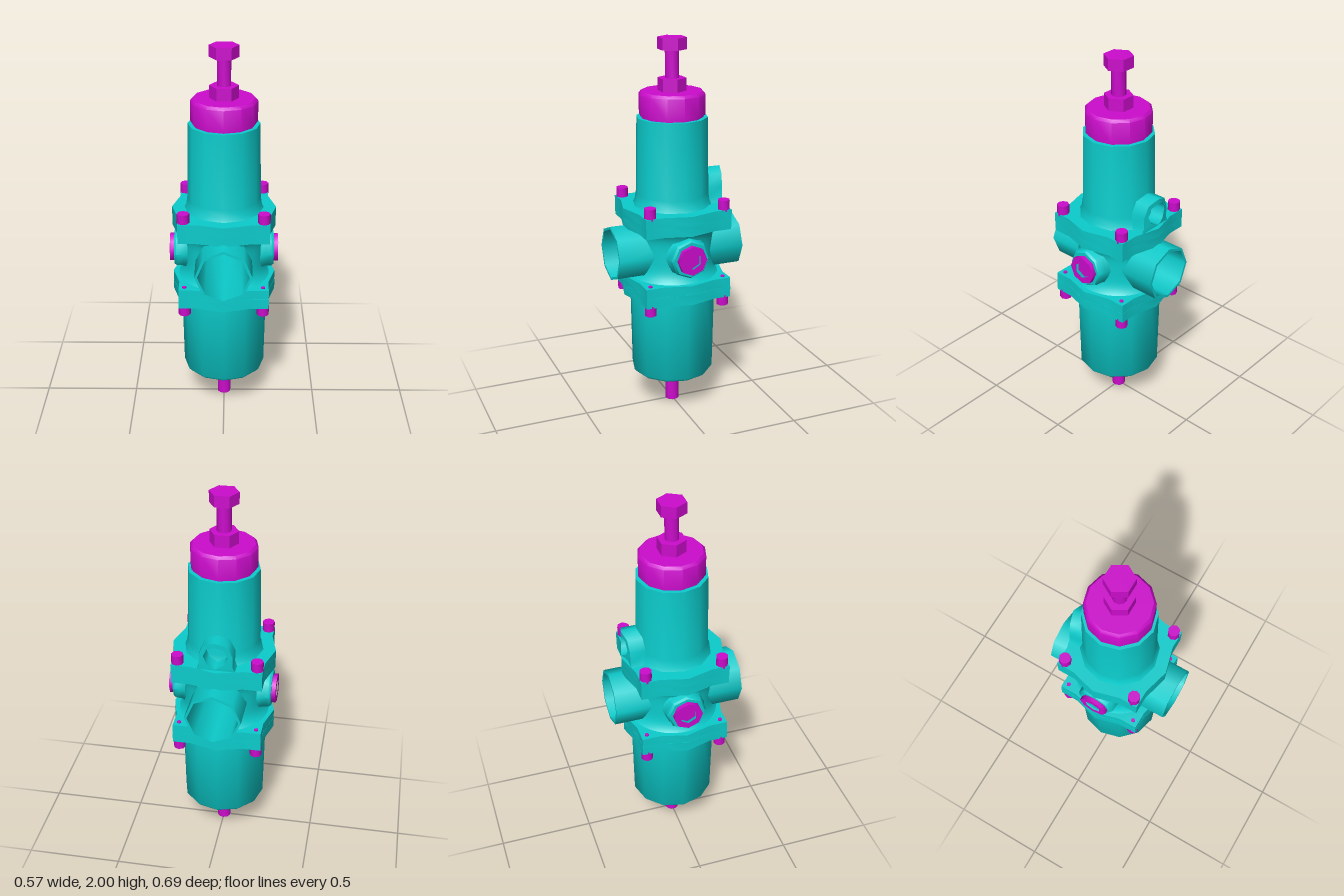
import * as THREE from 'three';
import { toCreasedNormals } from 'three/addons/utils/BufferGeometryUtils.js';

const teal = new THREE.MeshStandardMaterial({ color: 0x0ccccc });
const magenta = new THREE.MeshStandardMaterial({ color: 0xcc0ccc });
const PORT_Y = 0.9;

// Turned part; the profile runs upwards along the outside
const turned = (profile, sides) =>
  new THREE.LatheGeometry(profile.map(([r, y]) => new THREE.Vector2(r, y)), sides);

// Solid rod or prism standing between two heights
const rod = (r, y0, y1, sides) => turned([[0, y0], [r, y0], [r, y1], [0, y1]], sides);

const polygon = (Type, r, sides, cy = 0) => {
  const pts = [];
  for (let i = 0; i < sides; i++) {
    const a = (i / sides) * Math.PI * 2;
    pts.push(new THREE.Vector2(Math.sin(a) * r, cy + Math.cos(a) * r));
  }
  return new Type(pts);
};

function part(parent, name, geometry, material) {
  const mesh = new THREE.Mesh(toCreasedNormals(geometry, 0.83), material);
  mesh.name = name;
  parent.add(mesh);
  return mesh;
}

// Flange plate: square corners with a shallow point on each side
function flangePlate(y0, y1, scale = 1) {
  const pts = [];
  for (let i = 0; i < 4; i++) {
    for (const [x, y] of [[0.235, 0.235], [0.137, 0.235], [0, 0.272], [-0.137, 0.235]]) {
      pts.push(new THREE.Vector2(x * scale, y * scale).rotateAround(new THREE.Vector2(), i * Math.PI / 2));
    }
  }
  return new THREE.ExtrudeGeometry(new THREE.Shape(pts), { depth: y1 - y0, bevelEnabled: false })
    .rotateX(-Math.PI / 2).translate(0, y0, 0);
}

// Waisted core, opened front and back where the bore passes
function coreGeometry() {
  const profile = [];
  for (let i = 0; i <= 18; i++) {
    const t = i / 9 - 1;
    profile.push([0.213 + 0.037 * t ** 4, PORT_Y + t * 0.145]);
  }
  const pos = turned(profile, 64).toNonIndexed().attributes.position;
  const hole = 0.134, out = [];
  for (let i = 0; i < pos.count; i += 3) {
    const tri = [];
    let inside = 0;
    for (let k = 0; k < 3; k++) {
      const p = new THREE.Vector3().fromBufferAttribute(pos, i + k);
      const d = Math.hypot(p.x, p.y - PORT_Y);
      if (d < hole) {
        inside++;
        const s = hole / Math.max(d, 1e-4), r = Math.hypot(p.x, p.z);
        p.x *= s;
        p.y = PORT_Y + (p.y - PORT_Y) * s;
        p.z = Math.sign(p.z) * Math.sqrt(r * r - p.x * p.x);
      }
      tri.push(p.x, p.y, p.z);
    }
    if (inside < 3) out.push(...tri);
  }
  return new THREE.BufferGeometry().setAttribute('position', new THREE.Float32BufferAttribute(out, 3));
}

// Arched rear port whose end follows the point of the flange
function rearPortGeometry() {
  const cy = 1.225, r = 0.087, c = r * Math.SQRT1_2;
  const arch = new THREE.Shape([
    [-0.1, 1.135], [0.1, 1.135], [r, 1.165], [r, cy], [c, cy + c], [0, cy + r],
    [-c, cy + c], [-r, cy], [-r, 1.165],
  ].map(([x, y]) => new THREE.Vector2(x, y)));
  arch.holes.push(polygon(THREE.Path, 0.062, 8, cy));
  const g = new THREE.ExtrudeGeometry(arch, { depth: 0.122, bevelEnabled: false }).translate(0, 0, -0.271);
  const p = g.attributes.position;
  for (let i = 0; i < p.count; i++) {
    if (p.getZ(i) < -0.2) p.setZ(i, p.getZ(i) + 0.27 * Math.abs(p.getX(i)));
  }
  return g;
}

// Side boss with a socketed plug, pointing along +x
function sidePort(name) {
  const g = new THREE.Group();
  g.name = name;
  const boss = turned([[0.115, 0.19], [0.106, 0.215], [0.104, 0.25], [0.095, 0.262], [0, 0.262]], 8);
  part(g, 'boss', boss.rotateZ(-Math.PI / 2), teal);
  const ring = polygon(THREE.Shape, 0.078, 8);
  ring.holes.push(polygon(THREE.Path, 0.045, 6));
  const plug = new THREE.ExtrudeGeometry(ring, { depth: 0.035, bevelEnabled: false });
  part(g, 'plug', plug.translate(0, 0, 0.25).rotateY(Math.PI / 2), magenta);
  const floor = new THREE.ShapeGeometry(polygon(THREE.Shape, 0.05, 6));
  part(g, 'plugSocketFloor', floor.translate(0, 0, 0.264).rotateY(Math.PI / 2), magenta);
  g.position.y = PORT_Y + 0.007;
  return g;
}

export function createModel() {
  const model = new THREE.Group();
  model.name = 'pressureRegulator';

  // Body: flanges, core and through pipe
  part(model, 'lowerFlangeCover', flangePlate(0.66, 0.715), teal);
  part(model, 'lowerFlange', flangePlate(0.715, 0.766, 0.996), teal);
  part(model, 'upperFlange', flangePlate(1.034, 1.09, 0.996), teal);
  part(model, 'upperFlangeCover', flangePlate(1.09, 1.14), teal);
  part(model, 'core', coreGeometry(), teal);
  const pipe = turned([[0.147, -0.345], [0.147, 0.345], [0.133, 0.345], [0.133, -0.345], [0.147, -0.345]], 8);
  part(model, 'throughPipe', pipe.rotateX(Math.PI / 2).translate(0, PORT_Y, 0), teal);
  part(model, 'rearPort', rearPortGeometry(), teal);
  const left = sidePort('leftPort'), right = sidePort('rightPort');
  right.rotation.y = Math.PI;
  model.add(left, right);

  // Bonnet with cap and adjusting screw
  part(model, 'bonnet', turned([[0.209, 1.135], [0.197, 1.16], [0.191, 1.2], [0.184, 1.6], [0, 1.6]], 12), teal);
  part(model, 'cap', turned([[0.162, 1.595], [0.162, 1.612], [0.171, 1.612], [0.171, 1.718], [0.158, 1.732], [0, 1.732]], 12), magenta);
  part(model, 'lockNut', rod(0.074, 1.73, 1.797, 6).rotateY(Math.PI / 2), magenta);
  part(model, 'adjustingScrew', rod(0.037, 1.79, 1.95, 10), magenta);
  part(model, 'screwHead', rod(0.075, 1.94, 2, 6).rotateY(Math.PI / 2), magenta);

  // Bowl with drain
  part(model, 'bowl', turned([[0, 0.197], [0.208, 0.197], [0.22, 0.212], [0.228, 0.665]], 12), teal);
  part(model, 'drainNeck', turned([[0, 0.13], [0.066, 0.13], [0.071, 0.138], [0.071, 0.18], [0.082, 0.2]], 12), teal);
  part(model, 'drainPin', rod(0.037, 0, 0.14, 10), magenta);

  // Flange bolts at the corners
  for (const x of [-0.205, 0.205]) {
    for (const z of [-0.203, 0.203]) {
      part(model, 'upperBolt', rod(0.032, 1.13, 1.19, 8).translate(x, 0, z), magenta);
      part(model, 'lowerBolt', rod(0.032, 0.613, 0.67, 8).translate(x, 0, z), magenta);
      part(model, 'boltTip', rod(0.011, 0.75, 0.772, 8).translate(x, 0, z), magenta);
    }
  }
  return model;
}
